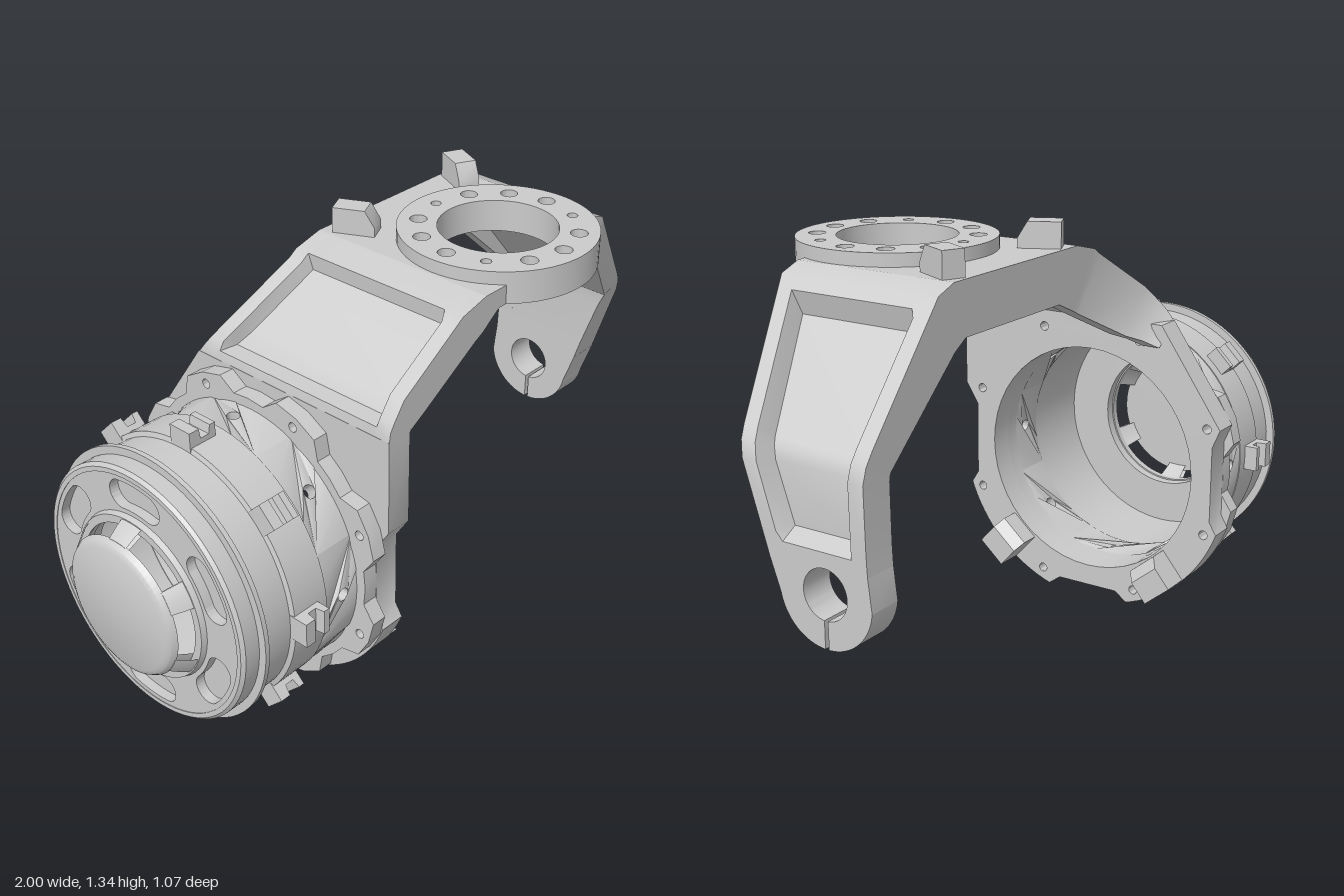
import * as THREE from 'three';
import { toCreasedNormals } from 'three/addons/utils/BufferGeometryUtils.js';

const material = new THREE.MeshStandardMaterial({ color: 0xcccccc, side: THREE.DoubleSide });
const PI = Math.PI, CY = 0.48, CZ = -0.06; // axis of the drum and the clamp eye

export function createModel() {
  const model = new THREE.Group();

  const add = (name, geo, parent = model) => {
    const mesh = new THREE.Mesh(toCreasedNormals(geo, 0.6), material);
    mesh.name = name;
    parent.add(mesh);
    return mesh;
  };
  const shapeOf = pts => new THREE.Shape(pts.map(p => new THREE.Vector2(...p)));
  const circle = (x, y, r) => new THREE.Path().absarc(x, y, r, 0, PI * 2, false);
  const disc = r => new THREE.Shape().absarc(0, 0, r, 0, PI * 2, false);
  const extrude = (shape, depth, curveSegments = 24) =>
    new THREE.ExtrudeGeometry(shape, { depth, bevelEnabled: false, curveSegments });
  // shape drawn as (-z, y), extruded along x
  const extrudeX = (shape, x, depth, seg) => extrude(shape, depth, seg).rotateY(PI / 2).translate(x, 0, 0);
  // shape drawn as (x, -z), extruded along y
  const extrudeY = (shape, y, depth, seg) => extrude(shape, depth, seg).rotateX(-PI / 2).translate(0, y, 0);
  // profile of [radius, x] turned about the x axis
  const turn = (pts, start = 0, length = PI * 2, seg = 72) =>
    new THREE.LatheGeometry(pts.map(p => new THREE.Vector2(...p)), seg, start, length).rotateZ(-PI / 2);

  // ---- Drum and everything on its axis ----
  const drum = new THREE.Group();
  drum.name = 'drum';
  drum.position.set(0, CY, CZ);
  model.add(drum);

  add('drumShell', turn([[0.385, -0.91], [0.4, -0.91], [0.41, -0.9], [0.41, -0.85], [0.435, -0.85],
    [0.435, -0.835], [0.41, -0.835], [0.41, -0.73], [0.425, -0.725], [0.425, -0.6],
    [0.385, -0.6], [0.385, -0.91]]), drum);

  // Perforated band: flat panels with one hole each, bent round the axis
  for (let k = 0; k < 8; k++) {
    const half = PI / 8, pts = [];
    for (let i = 0; i <= 10; i++) pts.push([-half + half * i / 5, -0.6]);
    for (let i = 10; i >= 0; i--) pts.push([-half + half * i / 5, -0.46]);
    const panel = shapeOf(pts);
    panel.holes.push(new THREE.Path().absellipse(0, -0.53, 0.05, 0.02, 0, PI * 2, false, 0));
    const geo = extrude(panel, 0.04, 6), p = geo.attributes.position;
    for (let i = 0; i < p.count; i++) {
      const a = p.getX(i) + k * PI / 4, r = 0.382 + p.getZ(i);
      p.setXYZ(i, p.getY(i), r * Math.sin(a), r * Math.cos(a));
    }
    add('drumBand', geo, drum);
  }

  // End plate with six curved recesses and the thin wall closing them
  const endPlate = disc(0.395);
  endPlate.holes.push(circle(0, 0, 0.24));
  for (let k = 0; k < 6; k++) {
    const a = -PI / 2 + k * PI / 3, a0 = a - 0.18, a1 = a + 0.18, r = 0.325, w = 0.045;
    const slot = new THREE.Path();
    slot.absarc(0, 0, r + w, a0, a1, false);
    slot.absarc(r * Math.cos(a1), r * Math.sin(a1), w, a1, a1 + PI, false);
    slot.absarc(0, 0, r - w, a1, a0, true);
    slot.absarc(r * Math.cos(a0), r * Math.sin(a0), w, a0 + PI, a0 + PI * 2, false);
    endPlate.holes.push(slot);
  }
  add('endPlate', extrudeX(endPlate, -0.908, 0.03), drum);
  const backing = disc(0.386);
  backing.holes.push(circle(0, 0, 0.24));
  add('recessWall', extrudeX(backing, -0.878, 0.012), drum);

  // Vented hub cap: foot ring, six posts, domed lid
  add('capFoot', turn([[0.235, -0.925], [0.26, -0.925], [0.268, -0.9], [0.235, -0.9], [0.235, -0.925]]), drum);
  add('capLid', turn([[0, -1], [0.195, -1], [0.212, -0.992], [0.222, -0.975], [0, -0.975]]), drum);
  for (let k = 0; k < 6; k++) {
    add('capPost', turn([[0.2, -0.98], [0.221, -0.978], [0.245, -0.945], [0.262, -0.915], [0.238, -0.915],
      [0.2, -0.98]], PI / 6 + k * PI / 3 - 0.16, 0.32, 6), drum);
  }

  // Notched lugs round the drum
  const lug = shapeOf([[-0.73, 0.405], [-0.635, 0.405], [-0.635, 0.468], [-0.655, 0.468], [-0.66, 0.44],
    [-0.69, 0.44], [-0.695, 0.472], [-0.73, 0.472]]);
  for (let k = 0; k < 8; k++) {
    add('lug', extrude(lug, 0.08).translate(0, 0, -0.04).rotateX(k * PI / 4), drum);
  }

  // Scalloped flange and mounting plate share the bore and bolt circle
  const addBolts = shape => {
    shape.holes.push(circle(0, 0, 0.38));
    for (let k = 0; k < 8; k++) {
      const a = PI / 8 + k * PI / 4;
      shape.holes.push(circle(0.465 * Math.cos(a), 0.465 * Math.sin(a), 0.015));
    }
    return shape;
  };
  const rim = [];
  for (let k = 0; k < 8; k++) {
    for (const [off, r] of [[-0.26, 0.45], [-0.16, 0.497], [0, 0.502], [0.16, 0.497], [0.26, 0.45], [0.39, 0.452]]) {
      const a = PI / 8 + k * PI / 4 + off;
      rim.push([r * Math.cos(a), r * Math.sin(a)]);
    }
  }
  add('flange', extrudeX(addBolts(shapeOf(rim)), -0.47, 0.05), drum);

  const plate = shapeOf([[0.475, 0.18], [0.259, 0.49], [-0.495, 0.49], [-0.495, 0.19], [-0.45, 0.12],
    [-0.45, -0.13], [-0.475, -0.17]]);
  plate.absarc(0, 0, 0.504, PI * 1.11, PI * 1.403, false);
  plate.lineTo(-0.11, -0.45).lineTo(0.11, -0.45);
  plate.absarc(0, 0, 0.504, PI * 1.597, PI * 1.89, false);
  plate.lineTo(0.45, -0.13).lineTo(0.45, 0.12);
  add('mountingPlate', extrudeX(addBolts(plate), -0.42, 0.085), drum);

  // Two stop blocks on the lower edge of the plate
  const stop = shapeOf([[-0.34, 0.385], [-0.27, 0.385], [-0.24, 0.42], [-0.24, 0.5], [-0.34, 0.5]]);
  for (const a of [PI * 0.77, -PI * 0.78]) {
    add('stopBlock', extrude(stop, 0.11).translate(0, 0, -0.055).rotateX(a), drum);
  }

  // ---- Yoke arms: lofted channel with a recessed outer face and a rear rib ----
  // station: outer x,y, web x,y, rib x,y, back z, front z, recess depth
  const loft = (name, stations) => {
    const pos = [], idx = [], n = 10;
    stations.forEach(([ox, oy, ix, iy, rx, ry, zb, zf, depth], s) => {
      const len = Math.hypot(ix - ox, iy - oy);
      const O = [ox, oy], I = [ix, iy], R = [rx, ry];
      const P = [ox + (ix - ox) / len * depth, oy + (iy - oy) / len * depth];
      [[O, zb], [O, zb + 0.05], [P, zb + 0.065], [P, zf - 0.065], [O, zf - 0.05], [O, zf],
        [I, zf], [I, zb + 0.06], [R, zb + 0.06], [R, zb]].forEach(([q, z]) => pos.push(q[0], q[1], z));
      if (!s) return;
      for (let j = 0; j < n; j++) {
        const a = (s - 1) * n + j, b = (s - 1) * n + (j + 1) % n;
        idx.push(a, b, a + n, b, b + n, a + n);
      }
    });
    const geo = new THREE.BufferGeometry();
    geo.setAttribute('position', new THREE.Float32BufferAttribute(pos, 3));
    geo.setIndex(idx);
    add(name, geo);
  };

  loft('drumArm', [
    [-0.42, 0.965, -0.335, 0.965, -0.32, 0.9, -0.32, 0.435, 0],
    [-0.415, 1.0, -0.33, 0.972, -0.3, 0.915, -0.295, 0.435, 0],
    [-0.4, 1.025, -0.315, 0.98, -0.285, 0.925, -0.28, 0.435, 0.045],
    [-0.36, 1.08, -0.28, 1.0, -0.24, 0.945, -0.245, 0.435, 0.045],
    [-0.15, 1.215, -0.06, 1.135, -0.03, 1.05, -0.2, 0.435, 0.045],
    [-0.12, 1.235, -0.03, 1.15, 0, 1.065, -0.2, 0.435, 0],
    [-0.02, 1.26, 0.04, 1.2, 0.08, 1.1, -0.2, 0.435, 0]]);

  const taper = y => Math.min(0.345, 0.09 + 0.311 * (y - 0.42));
  loft('clampArm', [
    [0.6, 1.26, 0.57, 1.2, 0.55, 1.1, -0.2, 0],
    [0.67, 1.235, 0.62, 1.155, 0.6, 1.07, -0.2, 0],
    [0.699, 1.2, 0.647, 1.123, 0.628, 1.045, -0.2, 0],
    [0.716, 1.18, 0.663, 1.105, 0.645, 1.03, -0.2, 0.06],
    [0.96, 0.89, 0.89, 0.84, 0.885, 0.815, -0.2, 0.06],
    [0.985, 0.855, 0.892, 0.82, 0.89, 0.805, -0.2, 0.06],
    [1, 0.81, 0.893, 0.79, 0.892, 0.79, -0.2, 0.06],
    [1, 0.625, 0.893, 0.625, 0.893, 0.625, -0.203, 0.06],
    [1, 0.6, 0.893, 0.6, 0.893, 0.6, -0.204, 0],
    [1, 0.56, 0.893, 0.56, 0.893, 0.56, -0.206, 0],
  ].map(([...s]) => [...s.slice(0, 7), taper(s[1]), s[7]]));

  // Split clamp eye at the foot of the arm
  const eye = shapeOf([[0.146, 0.08], [-0.194, 0.08]]);
  eye.absarc(0, 0, 0.158, PI * 1.06, PI * 1.5 - 0.04, false);
  eye.absarc(0, 0, 0.075, -PI / 2 - 0.08, -PI / 2 + 0.08, true);
  eye.absarc(0, 0, 0.158, -PI / 2 + 0.04, -0.1, false);
  add('clampEye', extrudeX(eye, 0.893, 0.107).translate(0, CY, CZ));

  // ---- Crown of the yoke ----
  const web = shapeOf([[-0.02, -0.435], [0.07, -0.435]]);
  web.absarc(0.29, -0.23, 0.299, 3.89, -0.417, true);
  web.lineTo(0.6, -0.345).lineTo(0.6, 0.2).lineTo(-0.02, 0.2);
  add('crownWeb', extrudeY(web, 1.2, 0.06, 48));
  add('crownRib', extrude(shapeOf([[-0.02, 1.259], [0.08, 1.1], [0.55, 1.1], [0.6, 1.259]]), 0.06)
    .translate(0, 0, -0.2));

  // Bolting ring: three small holes among nine large ones
  const ring = disc(0.3);
  ring.holes.push(circle(0, 0, 0.18));
  for (let k = 0; k < 12; k++) {
    const a = PI / 2 + k * PI / 6;
    ring.holes.push(circle(0.238 * Math.cos(a), 0.238 * Math.sin(a), k % 4 ? 0.026 : 0.016));
  }
  add('crownRing', extrudeY(ring, 1.2, 0.1, 32).translate(0.29, 0, 0.23));

  // Wedge blocks behind the ring
  const wedge = shapeOf([[-0.07, 0], [0.06, 0], [0.06, 0.09], [-0.04, 0.09], [-0.07, 0.04]]);
  for (const side of [-1, 1]) {
    const block = add('wedgeBlock', extrudeX(wedge, -0.035, 0.07));
    block.position.set(0.295 + side * 0.245, 1.25, -0.12);
    block.rotation.y = -side * 0.45;
  }
  return model;
}
